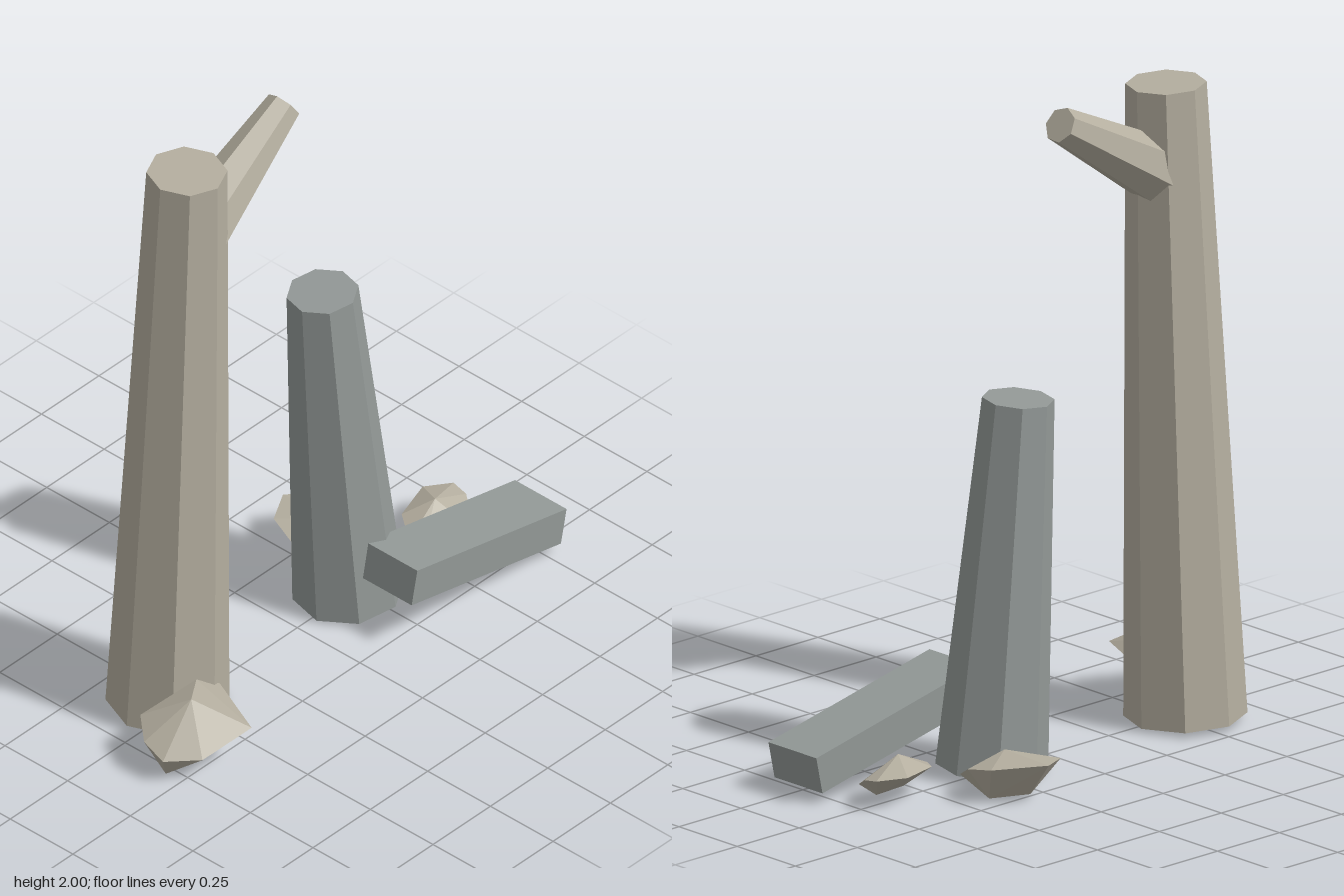
import * as THREE from 'three';
import { ConvexGeometry } from 'three/addons/geometries/ConvexGeometry.js';

const V = (p) => new THREE.Vector3(...p);

export function createModel() {
  const group = new THREE.Group();
  const paleWood = new THREE.MeshStandardMaterial({ color: 0xb4ae9f, flatShading: true });
  const greyWood = new THREE.MeshStandardMaterial({ color: 0x939997, flatShading: true });

  const add = (name, geometry, material) => {
    const mesh = new THREE.Mesh(geometry, material);
    mesh.name = name;
    group.add(mesh);
    return mesh;
  };

  // Tapered faceted log running from one end point to the other
  const addLog = (name, from, to, rFrom, rTo, sides, spin, material) => {
    const a = V(from), b = V(to);
    const axis = b.clone().sub(a);
    const geometry = new THREE.CylinderGeometry(rTo, rFrom, axis.length(), sides);
    geometry.rotateY(spin);
    const mesh = add(name, geometry, material);
    mesh.position.copy(a).add(b).multiplyScalar(0.5);
    mesh.quaternion.setFromUnitVectors(new THREE.Vector3(0, 1, 0), axis.normalize());
  };

  // Faceted stone spanned by a few corner points
  const addRock = (name, points) => add(name, new ConvexGeometry(points.map(V)), paleWood);

  // Tall trunk with its broken branch
  addLog('tallTrunk', [-0.522, 0.02, -0.04], [-0.484, 1.978, 0.003], 0.183, 0.12, 8, 0.03, paleWood);
  addLog('branch', [-0.423, 1.725, -0.006], [-0.033, 1.955, -0.022], 0.1, 0.055, 7, 0.2, paleWood);

  // Short leaning trunk
  addLog('shortTrunk', [0.222, 0.022, 0.0], [0.148, 1.152, -0.035], 0.168, 0.108, 8, 0.15, greyWood);

  // Fallen plank
  const plank = add('plank', new THREE.BoxGeometry(0.665, 0.117, 0.206), greyWood);
  plank.position.set(0.481, 0.163, 0.222);
  plank.rotation.z = -0.212;

  // Stones around the feet of the trunks
  addRock('leftRock', [
    [-0.68, 0.23, 0.2], [-0.82, 0.12, 0.14], [-0.825, 0.09, 0.22], [-0.74, 0.09, 0.3],
    [-0.575, 0.14, 0.345], [-0.48, 0.14, 0.13], [-0.57, 0.2, 0.12], [-0.76, 0.15, 0.07],
    [-0.68, 0.1, 0.04], [-0.78, 0.005, 0.19], [-0.71, 0.03, 0.12], [-0.6, 0.07, 0.2],
  ]);
  addRock('backRock', [
    [0.325, 0.13, -0.355], [0.23, 0.12, -0.305], [0.2, 0.09, -0.19], [0.29, 0.05, -0.1],
    [0.425, 0.06, -0.08], [0.46, 0.1, -0.15], [0.46, 0.12, -0.25], [0.33, 0.137, -0.17],
    [0.42, 0.012, -0.2], [0.32, 0.02, -0.27], [0.3, 0.025, -0.17],
  ]);
  addRock('rightRock', [
    [0.46, 0.08, 0.025], [0.48, 0.07, 0.065], [0.665, 0.04, 0.1], [0.73, 0.09, 0.005],
    [0.735, 0.1, -0.05], [0.655, 0.105, -0.1], [0.52, 0.1, -0.06], [0.6, 0.143, 0.0],
    [0.56, 0.03, 0.02], [0.66, 0.022, 0.03],
  ]);

  return group;
}
